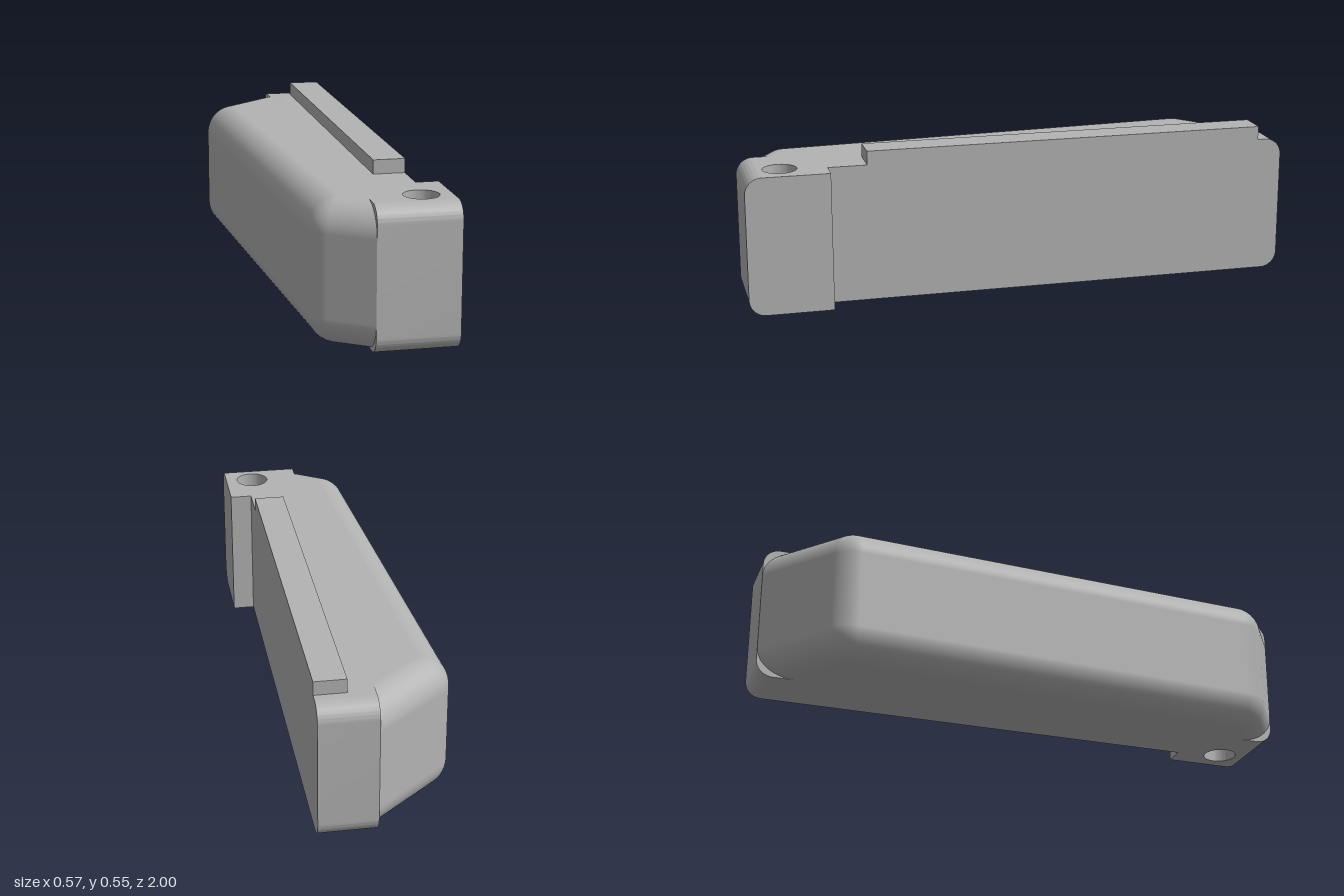
import * as THREE from 'three';
import { toCreasedNormals } from 'three/addons/utils/BufferGeometryUtils.js';

const H = 0.5;        // body height
const R = 0.107;      // rounding of the tapered side
const END_R = 0.06;   // rounding of the straight block ends
const SIDE = 0.205;   // flat side of the body
const LIP = 0.285;    // outer side of the lug

// Tapered side: a convex outline whose edges are all rounded by a ball of radius R
function taperedGeometry() {
  const pts = [[0, -1], [-0.29, -0.757], [-0.187, 0.875], [0, 1]].map(p => new THREE.Vector2(...p));
  const n = [0, 1, 2].map(i => {
    const d = pts[i + 1].clone().sub(pts[i]).normalize();
    return new THREE.Vector2(-d.y, d.x);
  });
  // ball centre at the corner between edges i and i + 1
  const core = i => pts[i + 1].clone().addScaledVector(n[i].clone().add(n[i + 1]), -R / (1 + n[i].dot(n[i + 1])));
  const ARC = 10, RISE = 14;
  const ring = rho => {
    const out = [{ p: new THREE.Vector2(0, -1 - (R - rho) / n[0].y), n: n[0] }];
    for (const i of [0, 1]) {
      const c = core(i), a0 = n[i].angle(), a1 = n[i + 1].angle();
      for (let k = 0; k <= ARC; k++) {
        const a = a0 + (a1 - a0) * k / ARC;
        const dir = new THREE.Vector2(Math.cos(a), Math.sin(a));
        out.push({ p: c.clone().addScaledVector(dir, rho), n: dir });
      }
    }
    out.push({ p: new THREE.Vector2(0, 1 - (R - rho) / n[2].y), n: n[2] });
    return out;
  };

  const levels = [];
  for (let k = 0; k <= RISE; k++) levels.push([(k / RISE - 1) * Math.PI / 2, R]);
  for (let k = 0; k <= RISE; k++) levels.push([k / RISE * Math.PI / 2, H - R]);
  const pos = [], nor = [], idx = [];
  let count = 0;
  for (const [phi, y] of levels) {
    const c = Math.cos(phi), s = Math.sin(phi), loop = ring(R * c);
    count = loop.length;
    for (const q of loop) {
      pos.push(q.p.x, y + R * s, q.p.y);
      nor.push(q.n.x * c, s, q.n.y * c);
    }
  }
  for (let j = 0; j < levels.length - 1; j++) {
    for (let i = 0; i < count - 1; i++) {
      const a = j * count + i, b = a + 1, c = a + count, d = c + 1;
      idx.push(a, b, c, b, d, c);
    }
  }
  // flat top and bottom
  const top = (levels.length - 1) * count;
  for (let i = 1; i < count - 1; i++) {
    idx.push(top, top + i, top + i + 1, 0, i + 1, i);
  }
  const g = new THREE.BufferGeometry();
  g.setAttribute('position', new THREE.Float32BufferAttribute(pos, 3));
  g.setAttribute('normal', new THREE.Float32BufferAttribute(nor, 3));
  g.setIndex(idx);
  return g;
}

// Straight block from x = 0 to width, square at zFlat and rounded at zRound
function blockGeometry(zFlat, zRound, width) {
  const a = -zFlat, b = -zRound, s = Math.sign(b - a);
  const shape = new THREE.Shape();
  shape.moveTo(a, 0);
  shape.lineTo(b - s * END_R, 0);
  shape.absarc(b - s * END_R, END_R, END_R, -Math.PI / 2, s > 0 ? 0 : -Math.PI, s < 0);
  shape.lineTo(b, H - END_R);
  shape.absarc(b - s * END_R, H - END_R, END_R, s > 0 ? 0 : Math.PI, Math.PI / 2, s < 0);
  shape.lineTo(a, H);
  const g = new THREE.ExtrudeGeometry(shape, { depth: width, bevelEnabled: false, curveSegments: 14 });
  g.rotateY(Math.PI / 2);
  return toCreasedNormals(g, 0.5);
}

// Lug with a vertical through hole
function lugGeometry(z0, z1) {
  const shape = new THREE.Shape();
  shape.moveTo(0, -z1);
  shape.lineTo(LIP, -z1);
  shape.lineTo(LIP, -z0);
  shape.lineTo(0, -z0);
  const hole = new THREE.Path();
  hole.absarc(0.18, -0.865, 0.061, 0, Math.PI * 2, true);
  shape.holes.push(hole);
  const g = new THREE.ExtrudeGeometry(shape, { depth: H, bevelEnabled: false, curveSegments: 40 });
  g.rotateX(-Math.PI / 2);
  return toCreasedNormals(g, 0.5);
}

export function createModel() {
  const group = new THREE.Group();
  const grey = new THREE.MeshStandardMaterial({ color: 0xb3b3b3 });
  grey.name = 'grey';
  const add = (name, geometry) => {
    const mesh = new THREE.Mesh(geometry, grey);
    mesh.name = name;
    group.add(mesh);
    return mesh;
  };

  add('taperedSide', taperedGeometry());
  add('straightBody', blockGeometry(0.7, -1, SIDE));
  add('lugWithHole', lugGeometry(0.7, 1 - END_R));
  add('lugFront', blockGeometry(1 - END_R, 1, LIP));

  // Raised rail along the flat side
  const rail = add('topRail', new THREE.BoxGeometry(SIDE - 0.093, 0.05, 1.47));
  rail.position.set((SIDE + 0.093) / 2, H + 0.025, -0.175);

  return group;
}
